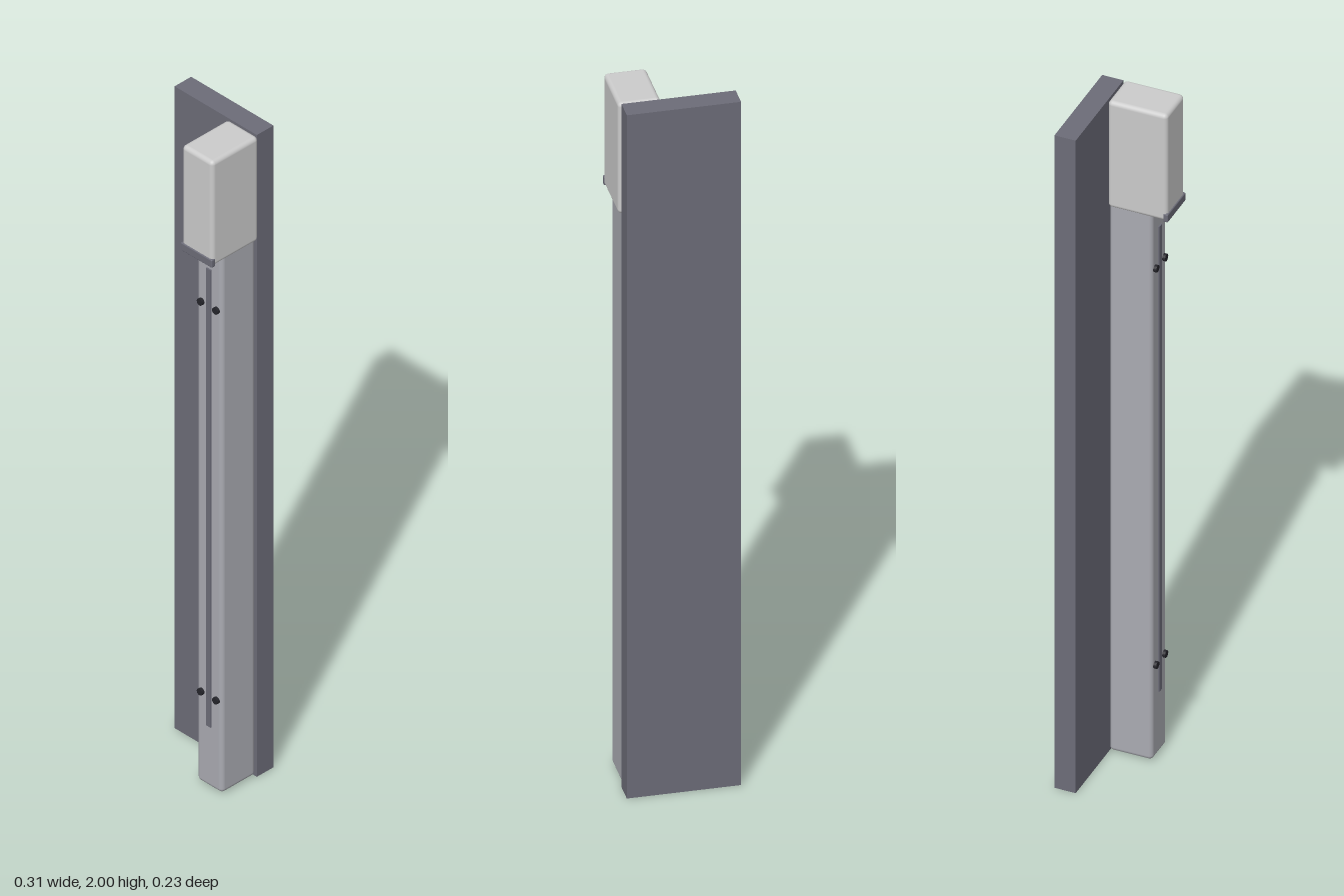
import * as THREE from 'three';
import { RoundedBoxGeometry } from 'three/addons/geometries/RoundedBoxGeometry.js';

const material = (color) => new THREE.MeshStandardMaterial({ color });

export function createModel() {
  const model = new THREE.Group();
  model.name = 'wallMountedRail';
  const grey = material(0xcccccc);
  const metal = material(0xaaabb2);
  const slate = material(0x6c6c78);
  const dark = material(0x25252b);

  // Box given by its min and max corners, with optional rounded edges
  function box(name, min, max, mat, radius = 0) {
    const size = max.map((v, i) => v - min[i]);
    const geometry = radius
      ? new RoundedBoxGeometry(...size, 4, radius)
      : new THREE.BoxGeometry(...size);
    const mesh = new THREE.Mesh(geometry, mat);
    mesh.name = name;
    mesh.position.set(...max.map((v, i) => (v + min[i]) / 2));
    model.add(mesh);
  }

  // Flat backing board, offset to one side of the rail
  box('backPanel', [-0.154, 0, -0.115], [0.143, 2, -0.056], slate);

  // Long rail with softened edges
  box('rail', [0.049, 0.005, -0.055], [0.14, 1.69, 0.065], metal, 0.012);

  // Head housing and the trim strip along its lower front edge
  box('headHousing', [0.04, 1.675, -0.055], [0.151, 2, 0.11], grey, 0.012);
  box('headTrim', [0.039, 1.674, 0.1], [0.152, 1.698, 0.113], slate, 0.003);

  // Raised strip down the front of the rail
  box('centreStrip', [0.086, 0.195, 0.06], [0.103, 1.62, 0.069], slate);

  // Two pairs of screws beside the strip
  const screwGeometry = new THREE.CylinderGeometry(0.01, 0.01, 0.016, 20);
  screwGeometry.rotateX(Math.PI / 2);
  for (const y of [0.29, 1.505]) {
    for (const side of [-1, 1]) {
      const screw = new THREE.Mesh(screwGeometry, dark);
      screw.name = 'screw';
      screw.position.set(0.0945 + side * 0.0275, y, 0.065);
      model.add(screw);
    }
  }
  return model;
}
